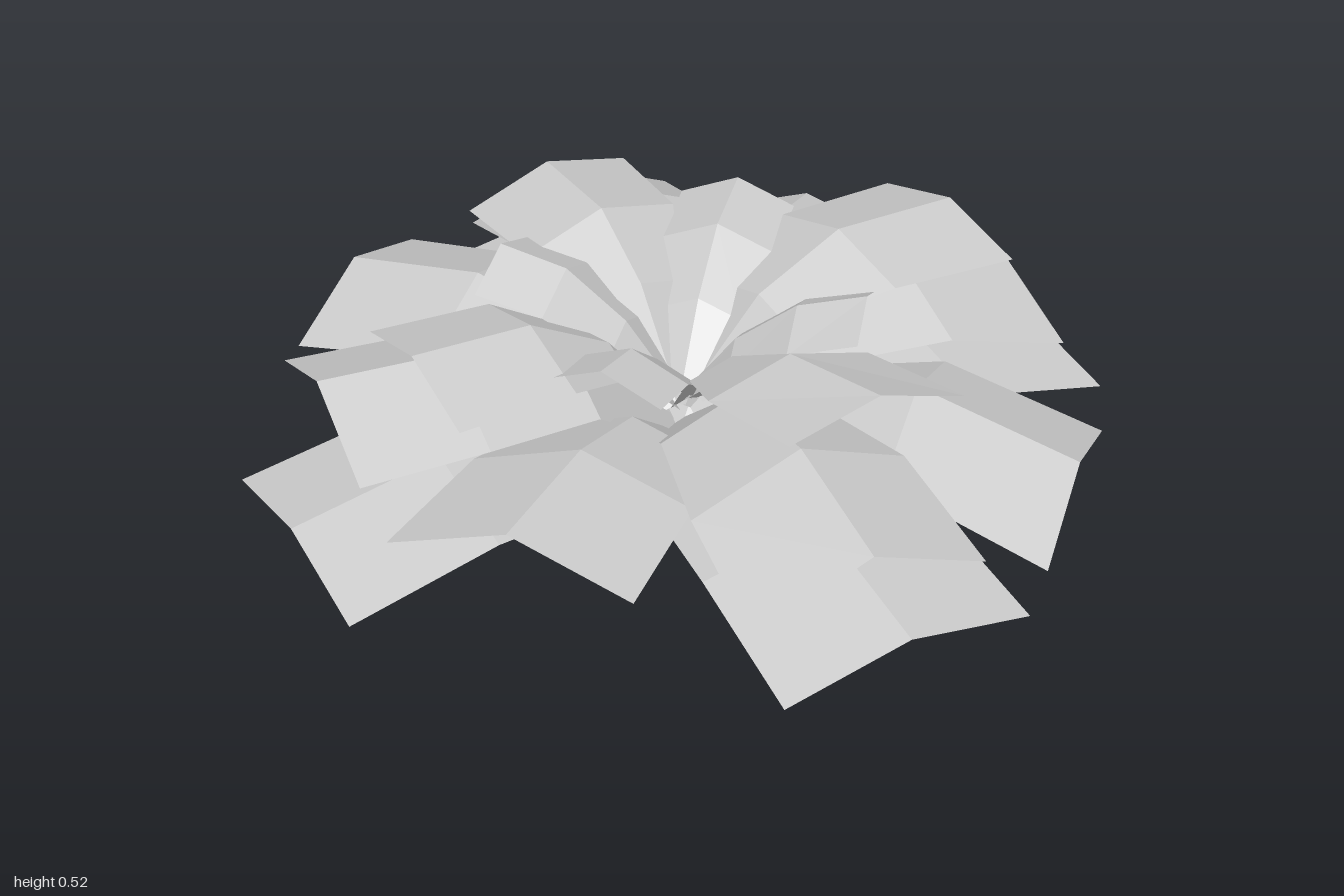
import * as THREE from 'three';

const material = new THREE.MeshStandardMaterial({ color: 0xcccccc, flatShading: true, side: THREE.DoubleSide });

// A blade along +x, folded along its midrib; each row is
// [distance, sideways offset, half width, midrib height, edge drop, roll]
function leafGeometry(rows) {
  const points = rows.flatMap(([x, z, w, y, drop, roll]) => [
    x, y - drop - roll, z - w, x, y, z, x, y - drop + roll, z + w]);
  const index = [];
  for (let r = 0; r < rows.length - 1; r++) {
    for (let c = 0; c < 2; c++) {
      const a = r * 3 + c;
      index.push(a, a + 1, a + 3, a + 1, a + 4, a + 3);
    }
  }
  const geometry = new THREE.BufferGeometry();
  geometry.setAttribute('position', new THREE.Float32BufferAttribute(points, 3));
  geometry.setIndex(index);
  geometry.computeVertexNormals();
  return geometry;
}

// A ring of leaves. rows: [fraction of reach, fraction of width, height] from base to last bend;
// leaves: [angle in degrees from +x towards +z, reach, tip height, sideways sway, roll]
function leafLayer(name, halfWidth, drop, rows, leaves) {
  const layer = new THREE.Group();
  layer.name = name + 'Layer';
  leaves.forEach(([angle, reach, tipHeight, sway = 0, roll = 0], i) => {
    const sections = [...rows, [1, 1, tipHeight]].map(
      ([f, w, y]) => [f * reach, f * sway, w * halfWidth, y, w * drop, f * roll]);
    const leaf = new THREE.Mesh(leafGeometry(sections), material);
    leaf.name = name + (i + 1);
    leaf.rotation.y = -THREE.MathUtils.degToRad(angle);
    layer.add(leaf);
  });
  return layer;
}

export function createModel() {
  const plant = new THREE.Group();
  plant.name = 'leafRosette';

  // Wide, drooping leaves nearest the ground
  plant.add(leafLayer('groundLeaf', 0.31, 0.06,
    [[0.03, 0.65, 0.04], [0.31, 0.82, 0.19], [0.63, 0.95, 0.21]],
    [[-1, 0.98, 0.14, 0.075], [91, 0.99, 0.14], [180, 0.99, 0.14, 0.02], [273, 0.98, 0.14, 0.09]]));

  // Leaves between them, on the diagonals
  plant.add(leafLayer('diagonalLeaf', 0.285, 0.1,
    [[0.03, 0.5, 0.09], [0.3, 0.75, 0.27], [0.6, 0.92, 0.34]],
    [[50.5, 0.965, 0.23, 0.02], [141.5, 0.845, 0.34, 0.06],
      [234, 0.95, 0.27, 0.11], [320, 0.915, 0.25, 0.03]]));

  // Second ring along the axes
  plant.add(leafLayer('middleLeaf', 0.28, 0.11,
    [[0.03, 0.35, 0.13], [0.32, 0.68, 0.36], [0.65, 0.94, 0.41]],
    [[3, 0.905, 0.325], [93.5, 0.94, 0.35, 0.03], [185.5, 0.855, 0.4, 0.085], [276, 0.97, 0.29, 0.11]]));

  // Shorter, nearly level leaves above
  plant.add(leafLayer('upperLeaf', 0.235, 0.065,
    [[0.04, 0.2, 0.18], [0.28, 0.5, 0.38], [0.57, 0.92, 0.485]],
    [[-5.5, 0.8, 0.465, 0.03], [87.5, 0.67, 0.525, -0.075, 0.022],
      [180, 0.67, 0.49, 0.025], [264, 0.7, 0.47, 0.095]]));

  // Small rising leaves around the centre
  plant.add(leafLayer('innerLeaf', 0.145, 0.06,
    [[0.04, 0.25, 0.2], [0.3, 0.72, 0.35], [0.63, 0.97, 0.46]],
    [[42, 0.435, 0.505, 0, 0.015], [145, 0.415, 0.49], [232.5, 0.46, 0.49], [316, 0.53, 0.485]]));

  return plant;
}
